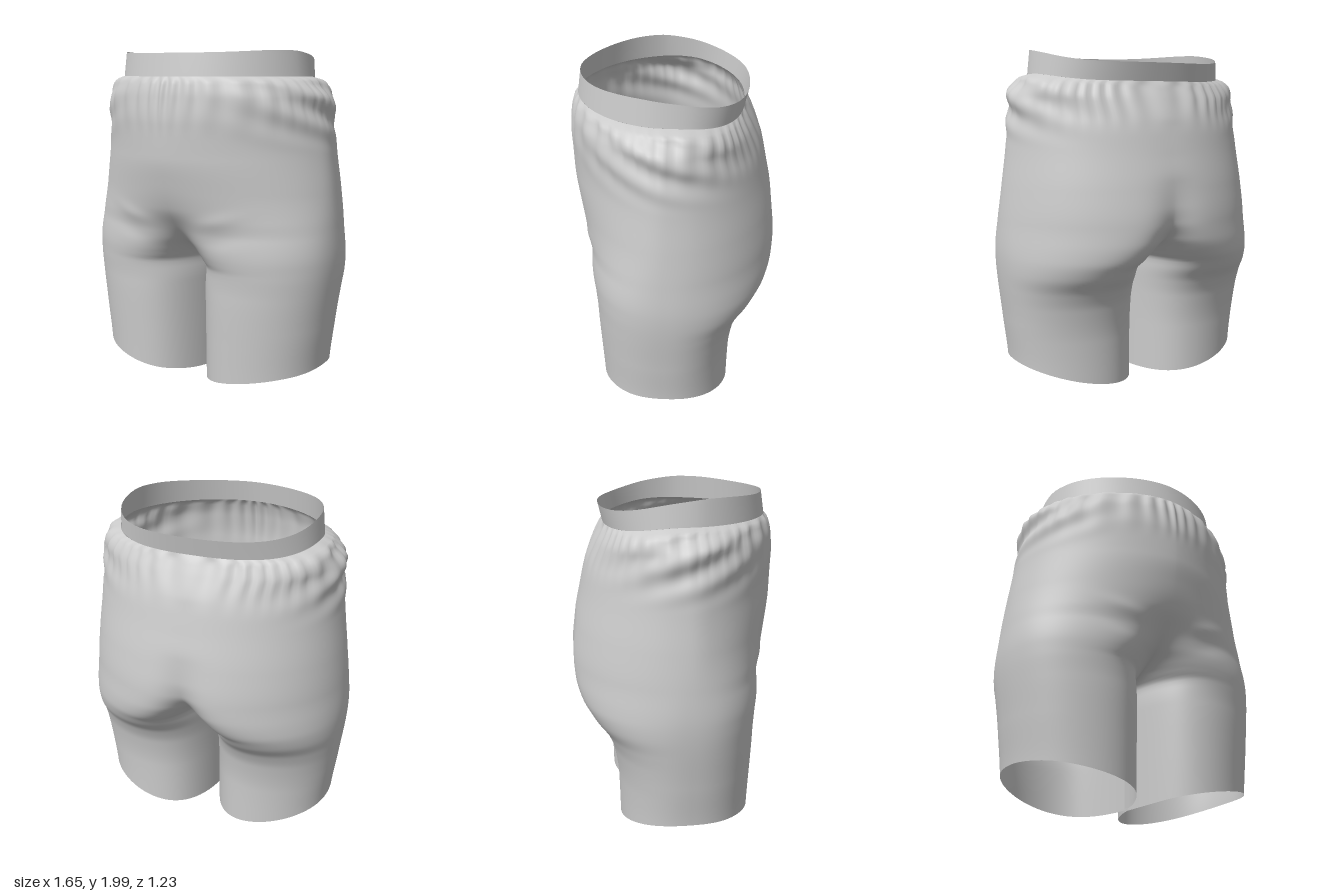
import * as THREE from 'three';
import { mergeVertices } from 'three/addons/utils/BufferGeometryUtils.js';

const smooth = THREE.MathUtils.smoothstep;
const lerp = THREE.MathUtils.lerp;
const bell = (v, c, w) => Math.exp(-(((v - c) / w) ** 2));

// Smooth monotone curve through [height, value] pairs
function profile(pts) {
  const slope = pts.slice(1).map((p, i) => (p[1] - pts[i][1]) / (p[0] - pts[i][0]));
  const tangent = pts.map((_, i) => {
    const a = slope[i - 1] ?? slope[i], b = slope[i] ?? slope[i - 1];
    return a * b > 0 ? (2 * a * b) / (a + b) : 0;
  });
  return (y) => {
    if (y <= pts[0][0]) return pts[0][1];
    if (y >= pts[pts.length - 1][0]) return pts[pts.length - 1][1];
    let i = 0;
    while (y > pts[i + 1][0]) i++;
    const h = pts[i + 1][0] - pts[i][0], t = (y - pts[i][0]) / h, u = 1 - t;
    return (1 + 2 * t) * u * u * pts[i][1] + t * u * u * h * tangent[i]
      + t * t * (3 - 2 * t) * pts[i + 1][1] - t * t * u * h * tangent[i + 1];
  };
}

// Half width, front and back depth, and the centre seam, by height
const width = profile([[0, .75], [.15, .76], [.4, .79], [.8, .827], [1, .815], [1.2, .795],
  [1.4, .77], [1.6, .75], [1.74, .735], [1.81, .695], [1.845, .66], [1.86, .61]]);
const front = profile([[0, .505], [.3, .515], [.6, .523], [.8, .52], [.95, .52], [1.05, .54],
  [1.2, .575], [1.4, .607], [1.6, .612], [1.75, .597], [1.83, .577], [1.86, .56]]);
const back = profile([[0, .425], [.3, .43], [.5, .46], [.6, .505], [.7, .585], [.8, .628],
  [.9, .638], [1, .635], [1.2, .607], [1.4, .563], [1.6, .517], [1.75, .462], [1.86, .41]]);
const seamFront = profile([[0, .02], [.74, .02], [.78, .12], [.83, .25], [.9, .38], [1, .475],
  [1.1, .54], [1.25, .583], [1.4, .607], [1.6, .612]]);
const seamBack = profile([[0, -.02], [.74, -.02], [.78, .14], [.83, .33], [.9, .49], [1, .575],
  [1.1, .592], [1.25, .588], [1.4, .56], [1.6, .517]]);
// Squareness of the outline, by height
const frontSquare = profile([[0, 2.35], [.8, 2.35], [1.2, 1.82], [1.45, 1.7], [1.86, 1.85]]);
const backSquare = profile([[0, 2.35], [.5, 2.35], [1, 2.02], [1.6, 2.02], [1.86, 2.35]]);
const squareness = (a, h) => lerp(frontSquare(h), backSquare(h), smooth(-Math.cos(a), -.3, .3));

// Rounded outline: a runs from centre front (0) past the side to centre back (PI)
function outline(a, w, f, b, n) {
  const s = Math.max(0, Math.sin(a)), c = Math.cos(a);
  const z = Math.pow(Math.abs(c), 2 / n);
  return [w * Math.pow(s, 2 / n), .02 + (c > 0 ? (f - .02) * z : -(b + .02) * z)];
}
const bandBottom = (a) => 1.855 - .045 * smooth(-Math.cos(a), 0, 1);
const bandTop = (a) => {
  const c = Math.cos(a);
  return 2 - .015 * smooth(c, .4, 1) - .085 * smooth(-c, -.3, 1);
};

// Cloth section at height y
function section(a, y) {
  const h = y + (1.86 - bandBottom(a)) * smooth(y, 1.5, 1.8);
  const f = front(h), b = back(h);
  const gap = .01 * (1 - smooth(y, .7, .78));
  let [x, z] = outline(a, width(h) - gap, f, b, squareness(a, h));
  // pinch towards the centre seam, which closes the legs below the crotch
  const isFront = Math.cos(a) > 0;
  const k = smooth(h, .6, 1.15);
  const g = Math.exp(-Math.pow(x / lerp(.11, isFront ? .17 : .12, k), lerp(.8, 1.8, k)));
  if (h < 1.6) z += isFront ? (seamFront(h) - f) * g : (b - seamBack(h)) * g;
  // gathers under the band, slanted side folds and creases at the thigh
  const s = Math.sin(a), loose = smooth(h, 1.42, 1.68) * (1 - smooth(h, 1.8, 1.86));
  let d = .008 * Math.cos(38 * a + 3 * Math.sin(5 * a)) * smooth(h, 1.5, 1.82) * (1 - smooth(h, 1.835, 1.86));
  d += .014 * s ** 4 * loose * Math.sin(34 * (y - .55 * z) + 1.5 * Math.sin(4 * z));
  d += .014 * bell(h, 1.79, .06) * bell(z, -.2, .16) * s * s;
  if (isFront) {
    d += .006 * bell(x, .3, .13) * (bell(y, .97 + .25 * x, .04) - bell(y, .87 + .2 * x, .05));
  }
  return [gap + x + d * s, z + d * Math.cos(a)];
}

// Lofts one half, mirrors it and welds the two along the centre
function mirroredLoft(cols, rows, pointAt) {
  const pos = [], index = [];
  for (const side of [1, -1]) {
    const start = pos.length / 3;
    for (let j = 0; j <= rows; j++) {
      for (let i = 0; i <= cols; i++) {
        const u = i / cols;
        const a = Math.PI * u - .36 * Math.sin(2 * Math.PI * u);
        const [x, y, z] = pointAt(a, j / rows);
        pos.push(side * (x < 1e-6 ? 0 : x), y, z);
      }
    }
    for (let j = 0; j < rows; j++) {
      for (let i = 0; i < cols; i++) {
        const p = start + j * (cols + 1) + i, q = p + cols + 1;
        if (side > 0) index.push(p, p + 1, q, p + 1, q + 1, q);
        else index.push(p, q, p + 1, p + 1, q, q + 1);
      }
    }
  }
  let geo = new THREE.BufferGeometry();
  geo.setAttribute('position', new THREE.Float32BufferAttribute(pos, 3));
  geo.setIndex(index);
  geo = mergeVertices(geo, 1e-5);
  geo.computeVertexNormals();
  return geo;
}

export function createModel() {
  const group = new THREE.Group();
  group.name = 'shorts';
  const cloth = new THREE.MeshStandardMaterial({ color: 0xcccccc, side: THREE.DoubleSide });
  const add = (name, geo) => {
    const mesh = new THREE.Mesh(geo, cloth);
    mesh.name = name;
    group.add(mesh);
  };

  // Seat and legs, from the slanted hem up to the band
  add('seatAndLegs', mirroredLoft(120, 120, (a, t) => {
    const [hx, hz] = section(a, .1);
    const r = hx / .76;
    const hem = .005 + .145 * lerp(r * r, r, smooth(hz, 0, .35));
    const y = lerp(hem, bandBottom(a), t);
    const [x, z] = section(a, y);
    return [x, y, z];
  }));

  // Smooth waistband, higher at the front than at the back
  add('waistband', mirroredLoft(60, 6, (a, t) => {
    const [x, z] = outline(a, lerp(.61, .595, t), lerp(.56, .54, t), lerp(.41, .435, t), squareness(a, 1.86));
    return [x, lerp(bandBottom(a), bandTop(a), t), z];
  }));
  return group;
}
